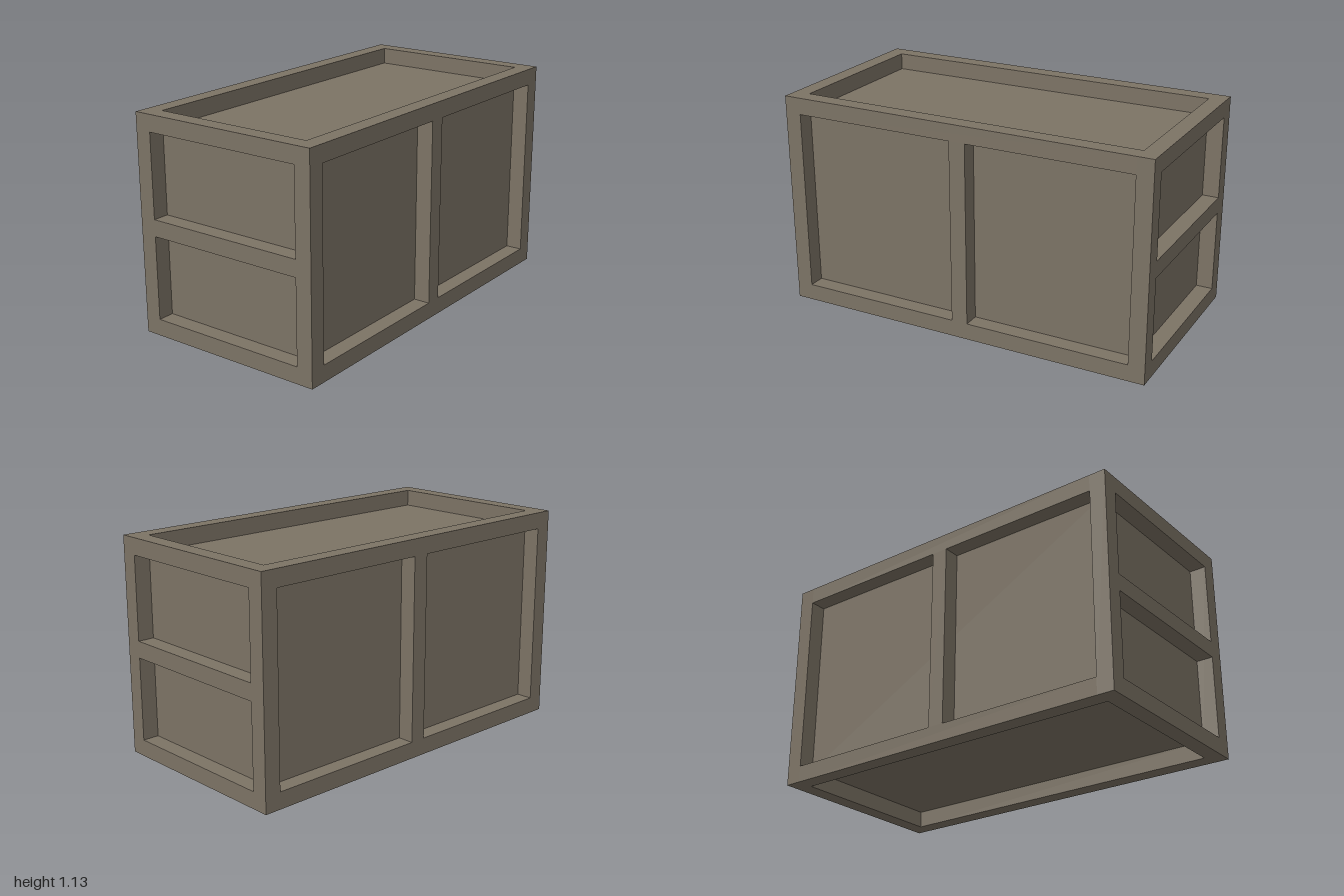
import * as THREE from 'three';

export function createModel() {
  const model = new THREE.Group();
  model.name = 'crate';
  const taupe = new THREE.MeshStandardMaterial({ color: 0x7c7365 });
  taupe.name = 'taupe';

  // The crate is 23 x 13 x 12 beam widths
  const u = 2 / 23;
  const W = 23 * u, H = 13 * u, D = 12 * u;
  const px = (W - u) / 2, pz = (D - u) / 2, midY = H / 2;

  const addBox = (name, w, h, d, x, y, z) => {
    const mesh = new THREE.Mesh(new THREE.BoxGeometry(w, h, d), taupe);
    mesh.name = name;
    mesh.position.set(x, y, z);
    model.add(mesh);
  };

  // Body whose faces form the recessed panels
  addBox('panelBody', W - 2 * u, H - 2 * u, D - 2 * u, 0, midY, 0);

  for (const s of [-1, 1]) {
    for (const t of [-1, 1]) {
      // Corner posts, long rails and side rails
      addBox('cornerPost', u, H, u, s * px, midY, t * pz);
      addBox('longRail', W - 2 * u, u, u, 0, midY + s * (H - u) / 2, t * pz);
      addBox('sideRail', u, u, D - 2 * u, t * px, midY + s * (H - u) / 2, 0);
    }
    // Dividers: upright on front and back, level on the two ends
    addBox('uprightDivider', u, H - 2 * u, u, 0, midY, s * pz);
    addBox('levelDivider', u, u, D - 2 * u, s * px, midY, 0);
  }
  return model;
}
